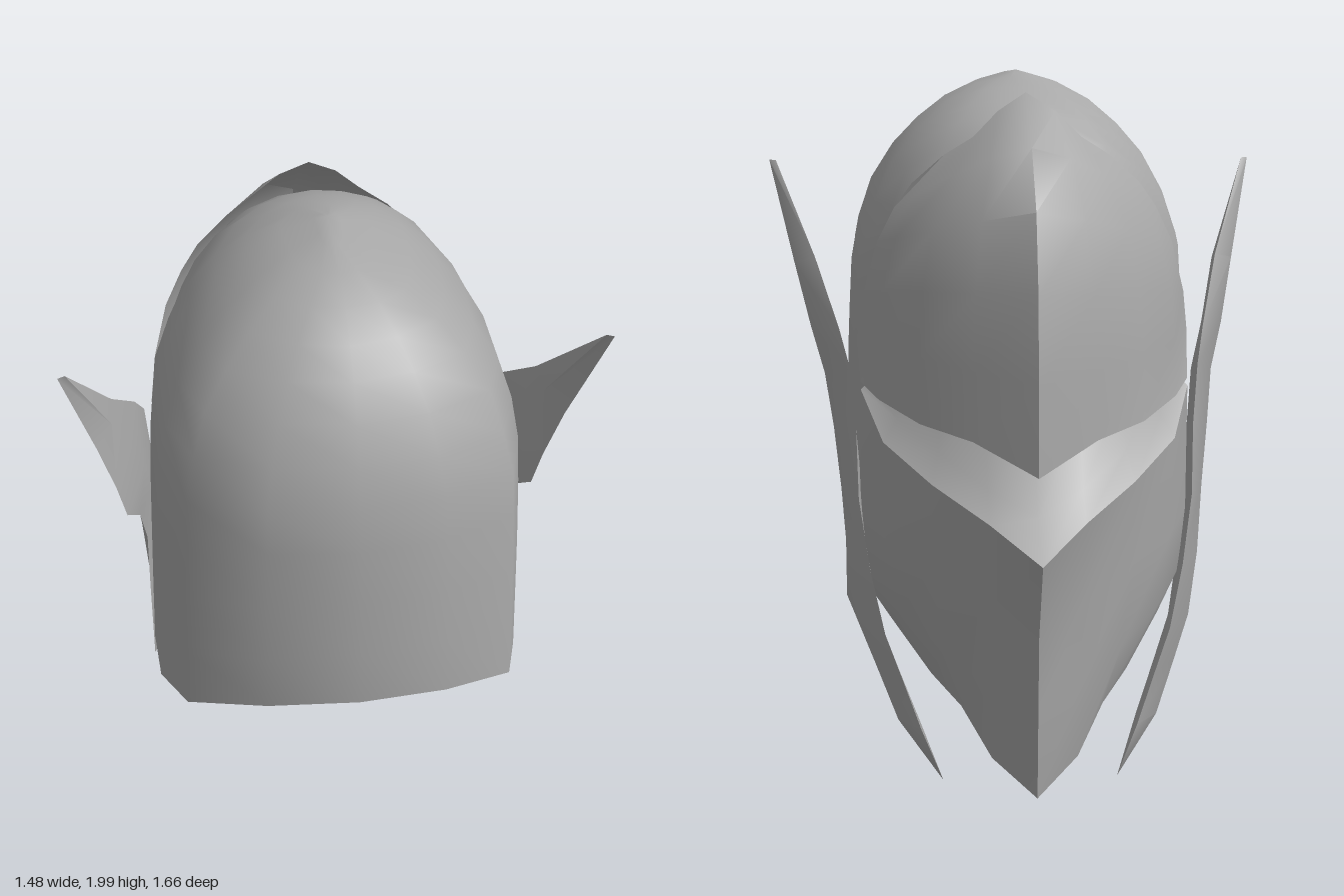
import * as THREE from 'three';
import { toCreasedNormals } from 'three/addons/utils/BufferGeometryUtils.js';

const steel = new THREE.MeshStandardMaterial({ color: 0xa8a8a8, side: THREE.DoubleSide });
steel.name = 'plain steel';

// Skins rows of [x, y, z] points into one surface
function skin(rows, closed = false, flip = false, crease = 0.9) {
  const n = rows[0].length, index = [];
  const last = closed ? n : n - 1;
  for (let r = 0; r < rows.length - 1; r++) {
    for (let c = 0; c < last; c++) {
      const d = (c + 1) % n;
      const a = r * n + c, b = r * n + d, e = a + n, f = b + n;
      if (flip) index.push(a, e, b, b, e, f);
      else index.push(a, b, e, b, f, e);
    }
  }
  const g = new THREE.BufferGeometry();
  g.setAttribute('position', new THREE.Float32BufferAttribute(rows.flat(2), 3));
  g.setIndex(index);
  return toCreasedNormals(g, crease);
}

// Completes a half row, listed from the centre line outwards, with its mirror image
const mirrorRow = row => [...row.slice(1).reverse().map(([x, y, z]) => [-x, y, z]), ...row];

// Piecewise linear lookup in a list of [key, value]
function lookup(table, k) {
  for (let i = 1; i < table.length; i++) {
    const [k0, v0] = table[i - 1], [k1, v1] = table[i];
    if (k <= k1) return THREE.MathUtils.lerp(v0, v1, Math.max(0, (k - k0) / (k1 - k0)));
  }
  return table.at(-1)[1];
}

// Skull: a half plan [x, rim height, z] from back to front, shrunk towards the crown
function skullRows() {
  const plan = [
    [0, 0.88, 0.83], [0.25, 0.85, 0.78], [0.46, 0.76, 0.64], [0.52, 0.67, 0.42],
    [0.52, 0.57, 0.14], [0.50, 0.51, 0.0], [0.44, 0.9, -0.18], [0.34, 1.2, -0.3],
    [0.18, 1.25, -0.38], [0, 1.25, -0.41],
  ];
  const width = [[0.6, 1], [1.2, 0.97], [1.49, 0.94], [1.69, 0.81], [1.8, 0.66], [1.9, 0.46], [1.96, 0.26], [2, 0]];
  const back = [[1, 1], [1.45, 0.96], [1.6, 0.9], [1.78, 0.77], [1.91, 0.58], [1.96, 0.42], [1.99, 0.26], [2, 0]];
  const front = [[1.3, 0.98], [1.6, 0.92], [1.82, 0.75], [1.9, 0.58], [1.97, 0.27], [2, 0]];
  const mid = 0.15;
  const at = ([x, rim, z], t) => {
    const y = rim + (2 - rim) * t;
    return [x * lookup(width, y), y, mid + (z - mid) * lookup(z > mid ? back : front, y)];
  };
  const steps = [0, 0.15, 0.3, 0.45, 0.56, 0.66, 0.75, 0.83, 0.89, 0.94, 0.975, 0.993, 1];
  const rows = steps.map(t => plan.map(p => at(p, t)));
  // Lip turned inwards along the rim
  rows.unshift(plan.map(([x, y, z]) => [x * 0.95, y + 0.025, mid + (z - mid) * 0.95]));
  return rows.map(mirrorRow);
}

// Pointed brow plate, bottom row to top row
const browRows = [
  [[0, 0.95, -0.7], [0.17, 1.03, -0.59], [0.31, 1.06, -0.48], [0.42, 1.1, -0.32], [0.47, 1.13, -0.2]],
  [[0, 1.2, -0.69], [0.17, 1.22, -0.58], [0.31, 1.24, -0.46], [0.42, 1.25, -0.28], [0.48, 1.26, -0.11]],
  [[0, 1.44, -0.67], [0.16, 1.43, -0.57], [0.3, 1.42, -0.44], [0.41, 1.4, -0.29], [0.46, 1.38, -0.17]],
  [[0, 1.65, -0.6], [0.14, 1.62, -0.52], [0.27, 1.58, -0.41], [0.37, 1.55, -0.29], [0.42, 1.53, -0.2]],
  [[0, 1.81, -0.45], [0.11, 1.78, -0.42], [0.21, 1.73, -0.36], [0.3, 1.68, -0.29], [0.37, 1.63, -0.22]],
  [[0, 1.95, -0.23], [0.08, 1.9, -0.26], [0.15, 1.83, -0.28], [0.23, 1.78, -0.26], [0.32, 1.7, -0.24]],
];

// Keeled face guard, bottom row to top row
const guardRows = [
  [[0, 0.04, -0.665], [0.12, 0.13, -0.58], [0.2, 0.25, -0.48], [0.28, 0.31, -0.36], [0.39, 0.43, -0.2], [0.48, 0.52, -0.02]],
  [[0, 0.3, -0.69], [0.12, 0.34, -0.62], [0.25, 0.42, -0.5], [0.37, 0.5, -0.37], [0.45, 0.56, -0.2], [0.49, 0.6, -0.03]],
  [[0, 0.51, -0.71], [0.13, 0.58, -0.62], [0.28, 0.66, -0.5], [0.4, 0.7, -0.37], [0.47, 0.75, -0.2], [0.5, 0.75, -0.03]],
  [[0, 0.74, -0.83], [0.13, 0.82, -0.68], [0.28, 0.9, -0.53], [0.41, 0.99, -0.38], [0.47, 1.11, -0.21], [0.48, 1.0, -0.05]],
];

// Recessed eye strip, from the top of the guard up behind the brow
const eyeRows = [
  guardRows[3].slice(0, 5),
  [[0, 0.84, -0.68], [0.13, 0.9, -0.6], [0.26, 0.98, -0.48], [0.37, 1.05, -0.35], [0.45, 1.13, -0.2]],
  [[0, 1.04, -0.54], [0.13, 1.08, -0.5], [0.25, 1.12, -0.42], [0.35, 1.15, -0.31], [0.43, 1.18, -0.19]],
];

// Underside closing the opening, [half width, side height, z, rise at the centre] from back to chin
const undersideRows = [
  [0.24, 0.88, 0.75, 0.02], [0.43, 0.79, 0.61, 0.05], [0.49, 0.7, 0.42, 0.07],
  [0.49, 0.6, 0.14, 0.07], [0.47, 0.54, -0.02, 0.06], [0.38, 0.45, -0.2, 0.03],
  [0.27, 0.33, -0.36, 0.03], [0.19, 0.27, -0.48, 0.02], [0.11, 0.17, -0.58, 0.02],
  [0, 0.1, -0.66, 0],
].map(([w, y, z, rise], i) => [
  [0, y + rise, i ? z : 0.79], [w / 2, y + rise * 0.75, i ? z : 0.78], [w, y, z],
]);

// Side fin sections: front edge, outer ridge, rear edge
const finSections = [
  [[0.72, 1.72, 0.39], [0.74, 1.72, 0.4], [0.74, 1.72, 0.4]],
  [[0.6, 1.45, 0.13], [0.665, 1.43, 0.22], [0.65, 1.4, 0.295]],
  [[0.53, 1.27, -0.1], [0.615, 1.25, 0.09], [0.605, 1.24, 0.265]],
  [[0.5, 1.17, -0.2], [0.575, 1.12, 0.02], [0.58, 1.13, 0.25]],
  [[0.485, 1.0, -0.23], [0.55, 0.98, -0.08], [0.54, 1.0, 0.09]],
  [[0.48, 0.8, -0.26], [0.53, 0.8, -0.12], [0.52, 0.85, 0.01]],
  [[0.45, 0.6, -0.3], [0.515, 0.6, -0.15], [0.52, 0.65, 0.0]],
  [[0.41, 0.42, -0.335], [0.485, 0.42, -0.19], [0.52, 0.43, 0.06]],
  [[0.365, 0.3, -0.36], [0.435, 0.3, -0.25], [0.47, 0.37, -0.11]],
  [[0.31, 0.15, -0.39], [0.375, 0.16, -0.32], [0.39, 0.18, -0.23]],
  [[0.25, 0.01, -0.42], [0.25, 0.01, -0.42], [0.25, 0.01, -0.42]],
];

function finGeometry(side) {
  const rows = finSections.map(([front, ridge, rear], i) => {
    const tip = i === 0 || i === finSections.length - 1;
    const inner = [ridge[0] - (tip ? 0 : 0.06), ridge[1], ridge[2]];
    return [front, ridge, rear, inner].map(([x, y, z]) => [x * side, y, z]);
  });
  return skin(rows, true, side > 0);
}

export function createModel() {
  const group = new THREE.Group();
  group.name = 'helmet';
  const add = (name, geometry) => {
    const mesh = new THREE.Mesh(geometry, steel);
    mesh.name = name;
    group.add(mesh);
  };
  add('skull', skin(skullRows(), false, false, 1.0));
  add('browPlate', skin(browRows.map(mirrorRow), false, true));
  add('faceGuard', skin(guardRows.map(mirrorRow), false, true));
  add('eyeStrip', skin(eyeRows.map(mirrorRow), false, true));
  add('underside', skin(undersideRows.map(mirrorRow), false, true));
  add('leftFin', finGeometry(1));
  add('rightFin', finGeometry(-1));

  return group;
}
